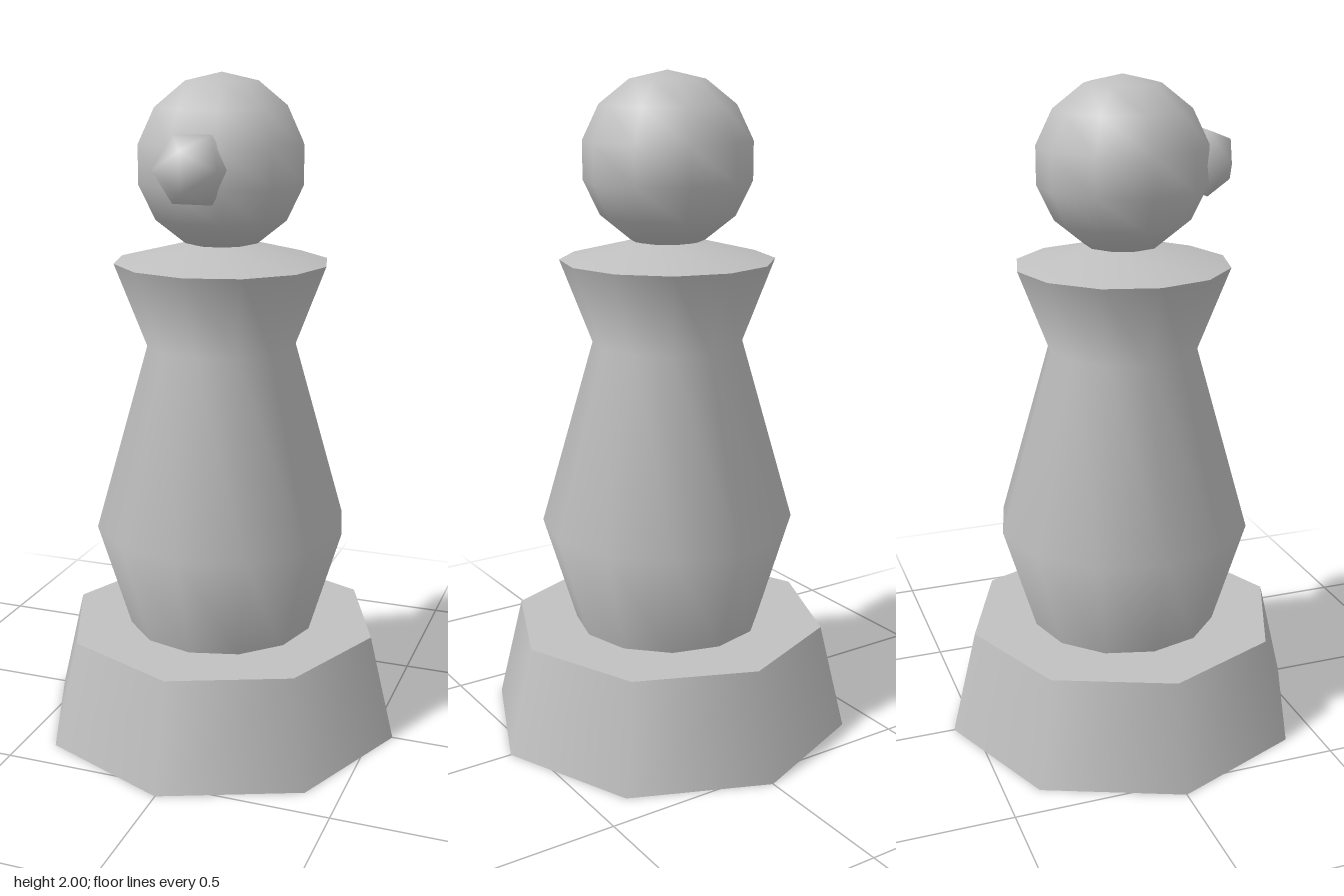
import * as THREE from 'three';
import { mergeVertices } from 'three/addons/utils/BufferGeometryUtils.js';

export function createModel() {
  const model = new THREE.Group();
  model.name = 'gamePiece';
  const grey = new THREE.MeshStandardMaterial({ color: 0xc0c0c0 });
  grey.name = 'grey';

  const add = (name, geometry, y = 0, z = 0) => {
    const mesh = new THREE.Mesh(geometry, grey);
    mesh.name = name;
    mesh.position.set(0, y, z);
    model.add(mesh);
  };
  const lathe = (profile) =>
    new THREE.LatheGeometry(profile.map(([r, y]) => new THREE.Vector2(r, y)), 12);

  // Eight-sided tapered foot
  add('base', new THREE.CylinderGeometry(0.485, 0.563, 0.325, 8), 0.1625);

  // Twelve-sided body, widest low down, flaring out again above the waist
  add('body', lathe([[0.285, 0.32], [0.385, 0.65], [0.225, 1.21], [0.32, 1.458]]));

  // Shallow shoulder cap, kept apart so the rim stays sharp
  add('shoulders', lathe([[0.32, 1.458], [0.11, 1.51], [0, 1.512]]));

  // Low-poly smooth head
  add('head', new THREE.SphereGeometry(0.255, 10, 7), 1.745);

  // Nose: an icosahedron with shared vertices for smooth shading
  const nose = new THREE.IcosahedronGeometry(0.112, 0);
  nose.deleteAttribute('uv');
  nose.deleteAttribute('normal');
  const smoothNose = mergeVertices(nose);
  smoothNose.computeVertexNormals();
  add('nose', smoothNose, 1.745, 0.24);

  return model;
}
